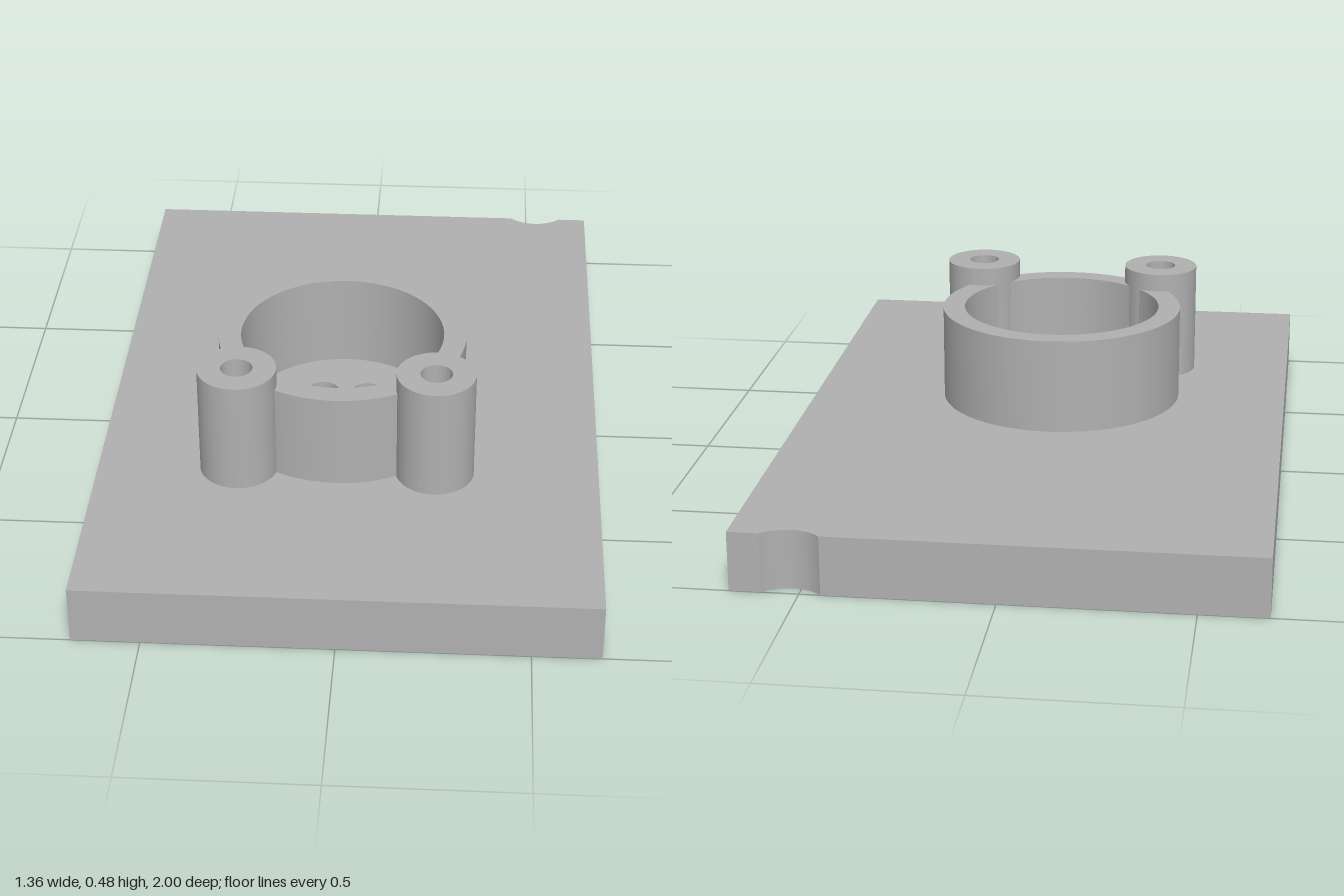
import * as THREE from 'three';
import { toCreasedNormals } from 'three/addons/utils/BufferGeometryUtils.js';

const grey = new THREE.MeshStandardMaterial({ color: 0xb0b0b0 });
grey.name = 'grey';

const PLATE_TOP = 0.16;
const RING = { x: -0.03, z: 0.155 };

// Circle in plan; shape y is -z
const circle = (path, x, z, r) => path.absarc(x, -z, r, 0, Math.PI * 2, false);

// Extrude a plan shape upwards between two heights
function extrudeUp(name, shape, y0, y1) {
  const raw = new THREE.ExtrudeGeometry(shape, { depth: y1 - y0, bevelEnabled: false, curveSegments: 48 });
  raw.rotateX(-Math.PI / 2);
  raw.translate(0, y0, 0);
  const mesh = new THREE.Mesh(toCreasedNormals(raw, 0.6), grey);
  mesh.name = name;
  return mesh;
}

// Upright hollow cylinder
function tube(name, x, z, outer, inner, y1) {
  const shape = circle(new THREE.Shape(), x, z, outer);
  shape.holes.push(circle(new THREE.Path(), x, z, inner));
  return extrudeUp(name, shape, PLATE_TOP, y1);
}

export function createModel() {
  const group = new THREE.Group();
  group.name = 'mountingPlate';

  // Base plate with a rounded notch in the back edge
  const notch = { x: 0.521, y: 1.074, r: 0.106 };
  const half = Math.sqrt(notch.r ** 2 - (notch.y - 1) ** 2);
  const a = Math.atan2(1 - notch.y, half);
  const plate = new THREE.Shape();
  plate.moveTo(-0.68, -1);
  plate.lineTo(0.68, -1);
  plate.lineTo(0.68, 1);
  plate.lineTo(notch.x + half, 1);
  plate.absarc(notch.x, notch.y, notch.r, a, -Math.PI - a, true);
  plate.lineTo(-0.68, 1);
  plate.closePath();

  // Seven through holes: one central, six around it
  plate.holes.push(circle(new THREE.Path(), RING.x, RING.z, 0.045));
  for (let i = 0; i < 6; i++) {
    const t = (i * Math.PI) / 3;
    plate.holes.push(circle(new THREE.Path(), RING.x + 0.126 * Math.cos(t), RING.z + 0.126 * Math.sin(t), 0.045));
  }
  group.add(extrudeUp('basePlate', plate, 0, PLATE_TOP));

  // Round cup wall around the holes
  group.add(tube('ringWall', RING.x, RING.z, 0.342, 0.28, 0.425));

  // Pair of screw posts on the front side of the ring
  for (const [name, side] of [['rightPost', -1], ['leftPost', 1]]) {
    group.add(tube(name, RING.x + side * 0.266, 0.43, 0.106, 0.043, 0.476));
  }
  return group;
}
